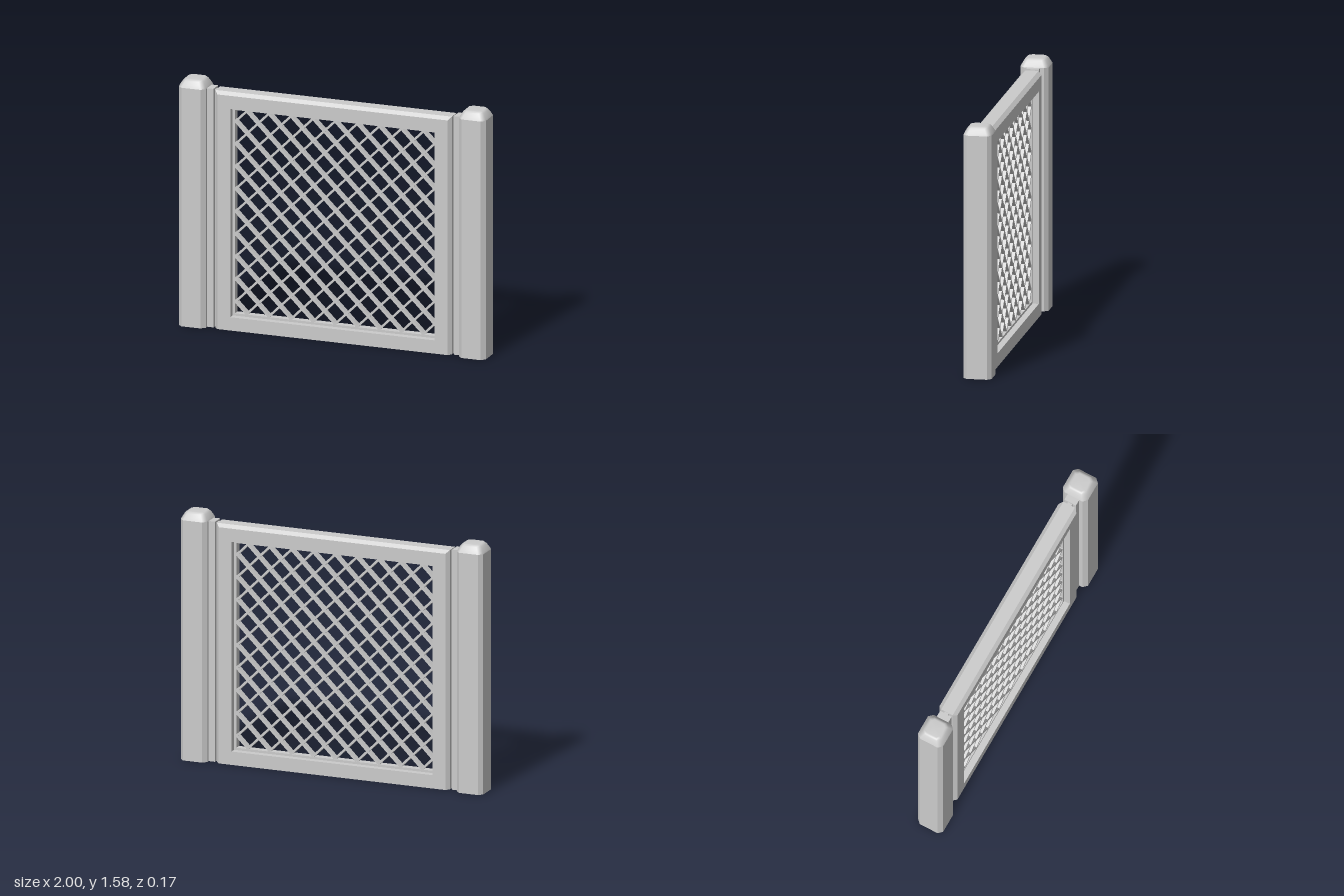
import * as THREE from 'three';

const grey = new THREE.MeshStandardMaterial({ color: 0xcccccc });

function addMesh(parent, name, geometry) {
  const mesh = new THREE.Mesh(geometry, grey);
  mesh.name = name;
  parent.add(mesh);
  return mesh;
}

// Skin through rings of points; closed joins the last ring to the first
function loft(rings, closed, smooth) {
  const n = rings[0].length, m = rings.length, index = [];
  for (let i = 0; i < (closed ? m : m - 1); i++) {
    for (let j = 0; j < n; j++) {
      const k = (j + 1) % n, a = i * n, b = ((i + 1) % m) * n;
      index.push(a + j, a + k, b + k, a + j, b + k, b + j);
    }
  }
  let g = new THREE.BufferGeometry();
  g.setAttribute('position', new THREE.Float32BufferAttribute(rings.flat(2), 3));
  g.setIndex(index);
  if (!smooth) g = g.toNonIndexed();
  g.computeVertexNormals();
  return g;
}

// Square with cut corners, counter-clockwise
function octagon(h, c) {
  const k = h - c;
  return [[h, -k], [h, k], [k, h], [-k, h], [-h, k], [-h, -k], [-k, -h], [k, -h]];
}

const POST_H = 1.525, POST_R = 0.0875, POST_X = 0.9125;

function makePost(side) {
  const post = new THREE.Group();
  post.name = side > 0 ? 'leftPost' : 'rightPost';

  // Chamfered shaft
  const outline = new THREE.Shape(octagon(POST_R, 0.025).map(p => new THREE.Vector2(...p)));
  const shaft = new THREE.ExtrudeGeometry(outline, { depth: POST_H, bevelEnabled: false });
  shaft.rotateX(-Math.PI / 2);
  addMesh(post, 'shaft', shaft).position.x = side * POST_X;

  // Rounded cap: half-width, corner cut, height
  const profile = [
    [0.0875, 0.025, 1.525], [0.083, 0.025, 1.536], [0.075, 0.024, 1.551],
    [0.066, 0.022, 1.566], [0.058, 0.02, 1.574], [0.048, 0.016, 1.577], [0, 0, 1.577],
  ];
  const rings = profile.map(([h, c, y]) => octagon(h, c).map(([x, z]) => [x, y, -z]));
  addMesh(post, 'cap', loft(rings, false, true)).position.x = side * POST_X;

  // Mounting strip and the thin tongue joining it to the frame
  addMesh(post, 'strip', new THREE.BoxGeometry(0.045, POST_H, 0.08))
    .position.set(side * 0.8055, POST_H / 2, 0);
  addMesh(post, 'tongue', new THREE.BoxGeometry(0.04, 1.515, 0.03))
    .position.set(side * 0.775, 1.515 / 2, 0);
  return post;
}

// Frame: each profile point is a rectangle (half-width, top, bottom) at depth z
function makeFrame() {
  const half = [
    [0.77, 1.52, 0, 0.04], [0.75, 1.5, 0, 0.0625],
    [0.665, 1.416, 0.085, 0.0625], [0.665, 1.416, 0.085, 0.022],
    [0.65, 1.4, 0.1, 0.022],
  ];
  const back = half.map(([x, t, b, z]) => [x, t, b, -z]).reverse();
  const rings = [...half, ...back].map(([x, t, b, z]) =>
    [[x, b, z], [x, t, z], [-x, t, z], [-x, b, z]]);
  return loft(rings, true, false);
}

// Diagonal bars clipped to the opening, in both directions
function makeLattice() {
  const lattice = new THREE.Group();
  lattice.name = 'lattice';
  const pitch = 0.144, L = 0.656;
  for (let k = -9; k < 9; k++) {
    const c = (k + 0.5) * pitch;
    const x0 = Math.max(-L, -L - c), x1 = Math.min(L, L - c), mid = (x0 + x1) / 2;
    for (const s of [1, -1]) {
      const bar = addMesh(lattice, 'latticeBar',
        new THREE.BoxGeometry((x1 - x0) * Math.SQRT2, 0.014, 0.04));
      bar.position.set(s * mid, 0.75 + mid + c, 0);
      bar.rotation.z = s * Math.PI / 4;
    }
  }
  return lattice;
}

export function createModel() {
  const model = new THREE.Group();
  model.name = 'fencePanel';
  model.add(makePost(1), makePost(-1), makeLattice());
  addMesh(model, 'frame', makeFrame());
  return model;
}
